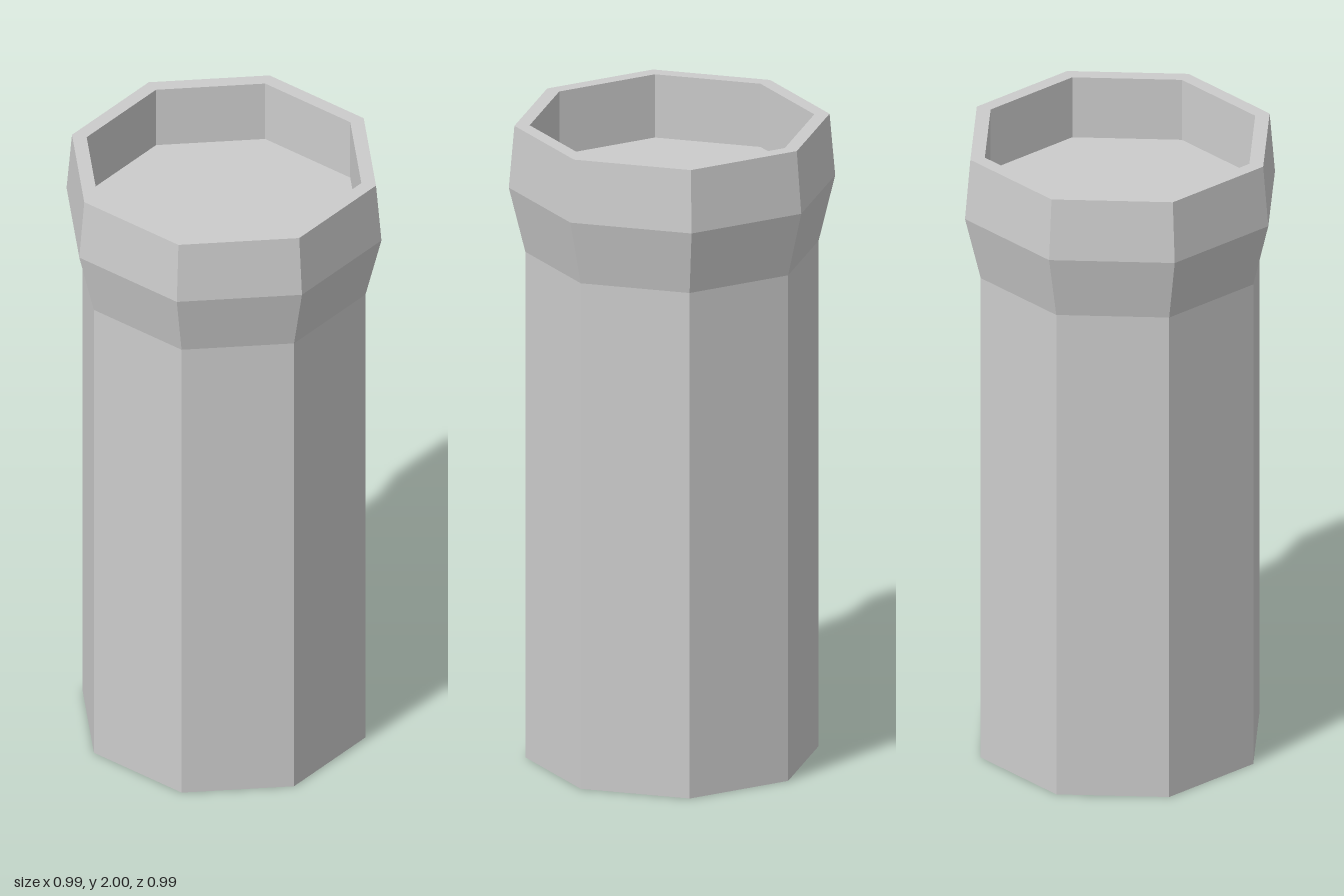
import * as THREE from 'three';

const SIDES = 8;

export function createModel() {
  const group = new THREE.Group();
  group.name = 'octagonalColumn';
  const material = new THREE.MeshStandardMaterial({ color: 0xcccccc, flatShading: true });

  // Turns a [radius, height] profile into a faceted part with corners on the x and z axes
  const addPart = (name, profile) => {
    const points = profile.map(([r, y]) => new THREE.Vector2(r, y));
    const mesh = new THREE.Mesh(new THREE.LatheGeometry(points, SIDES), material);
    mesh.name = name;
    group.add(mesh);
  };

  // Closed base and straight shaft
  addPart('shaft', [[0, 0], [0.443, 0], [0.443, 1.6]]);
  // Flared collar, flat rim and the recess wall
  addPart('collar', [[0.443, 1.6], [0.493, 1.805], [0.476, 2], [0.43, 2], [0.43, 1.8]]);
  // Floor of the recess
  addPart('recessFloor', [[0.43, 1.8], [0, 1.8]]);

  return group;
}
